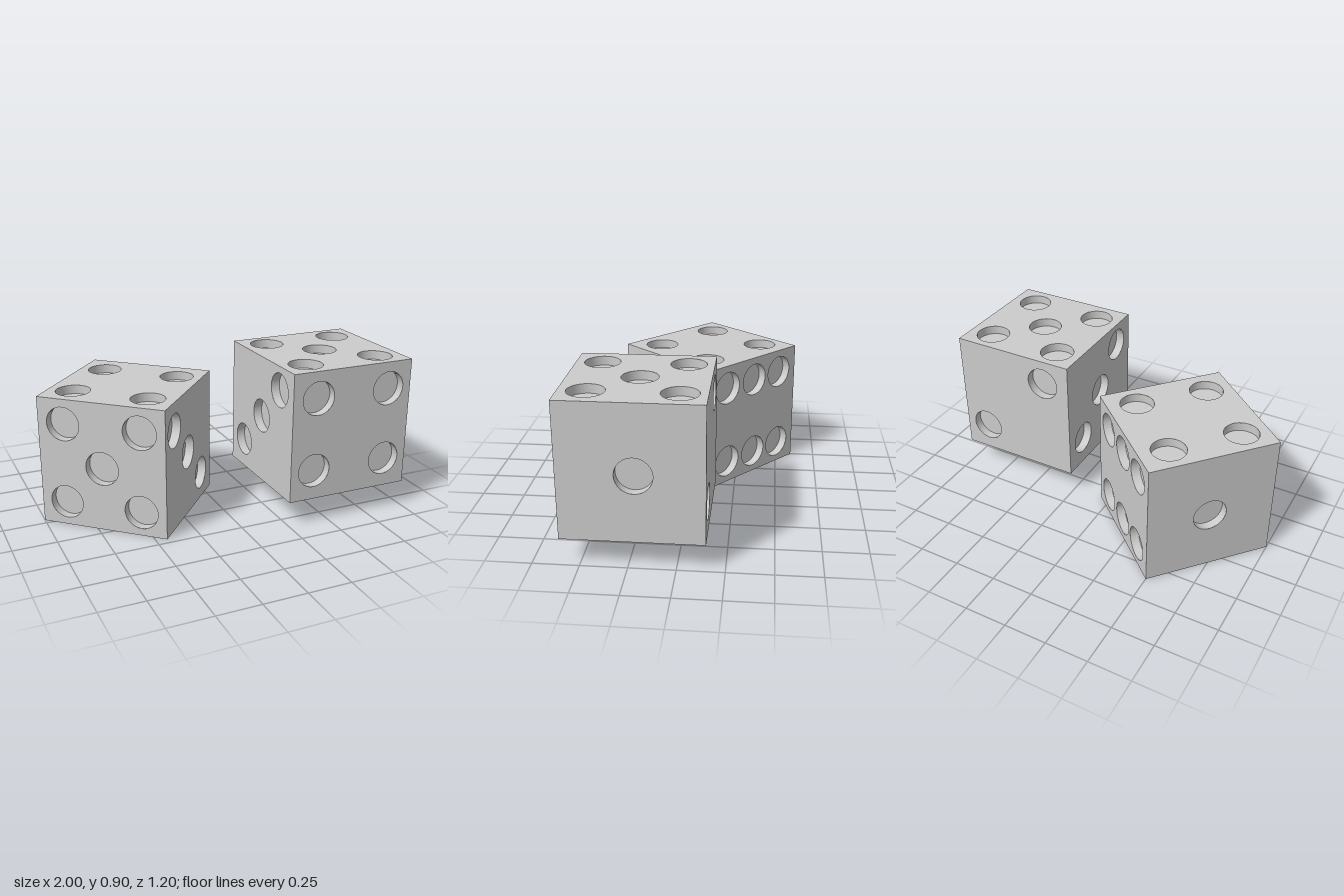
import * as THREE from 'three';
import { toCreasedNormals } from 'three/addons/utils/BufferGeometryUtils.js';

const H = 0.3765;      // half the edge of a die
const R = 0.098;       // pip radius
const DEPTH = 0.051;   // pip depth
const SEG = 40;

const X = new THREE.Vector3(1, 0, 0), Y = new THREE.Vector3(0, 1, 0), Z = new THREE.Vector3(0, 0, 1);
const neg = (v) => v.clone().negate();

// Each face: its two in-plane axes (u x v points outward) and its pip centres
const FACES = [
  { name: 'fiveFace', u: X, v: neg(Z), pips: [[-0.227, 0.236], [0.225, 0.236], [-0.227, -0.232], [0.225, -0.232], [0, 0.005]] },
  { name: 'sixFace', u: X, v: Z, pips: [-0.24, 0.237].flatMap((z) => [-0.227, 0.003, 0.226].map((x) => [x, z])) },
  { name: 'fourFace', u: X, v: Y, pips: [[-0.219, 0.221], [0.23, 0.221], [-0.23, -0.204], [0.23, -0.204]] },
  { name: 'twoFace', u: neg(X), v: Y, pips: [[0.204, 0.226], [-0.226, -0.207]] },
  { name: 'oneFace', u: neg(Z), v: Y, pips: [[0.017, -0.008]] },
  { name: 'threeFace', u: Z, v: Y, pips: [[0.215, 0.24], [0.006, 0.022], [-0.216, -0.203]] },
];

function createDie(name, material) {
  const die = new THREE.Group();
  die.name = name;

  // Recessed pip: wall running down from the rim, then a flat floor
  const profile = [[R, 0], [R, -DEPTH], [0, -DEPTH]].map(([r, y]) => new THREE.Vector2(r, y));
  const pipGeometry = toCreasedNormals(new THREE.LatheGeometry(profile, SEG).rotateX(Math.PI / 2), 0.6);

  for (const { name: faceName, u, v, pips } of FACES) {
    const face = new THREE.Group();
    face.name = faceName;
    const n = u.clone().cross(v);
    face.quaternion.setFromRotationMatrix(new THREE.Matrix4().makeBasis(u, v, n));
    face.position.copy(n).multiplyScalar(H);

    // Square plate with a round opening for each pip
    const square = new THREE.Shape([[-H, -H], [H, -H], [H, H], [-H, H]].map(([a, b]) => new THREE.Vector2(a, b)));
    for (const [a, b] of pips) {
      square.holes.push(new THREE.Path().absarc(a, b, R, 0, Math.PI * 2, true));
      const pip = new THREE.Mesh(pipGeometry, material);
      pip.name = 'pip';
      pip.position.set(a, b, 0);
      face.add(pip);
    }
    const plate = new THREE.Mesh(new THREE.ShapeGeometry(square, SEG), material);
    plate.name = 'facePlate';
    face.add(plate);
    die.add(face);
  }
  return die;
}

export function createModel() {
  const model = new THREE.Group();
  model.name = 'pairOfDice';
  const material = new THREE.MeshStandardMaterial({ color: 0xcccccc });

  // Raised die, square to the axes with the five on top
  const raisedDie = createDie('raisedDie', material);
  raisedDie.position.set(0.6235, 0.528, 0.225);

  // Resting die, turned with the four on top
  const restingDie = createDie('restingDie', material);
  const angle = THREE.MathUtils.degToRad(41.6), c = Math.cos(angle), s = Math.sin(angle);
  restingDie.quaternion.setFromRotationMatrix(new THREE.Matrix4().makeBasis(
    new THREE.Vector3(-c, 0, -s), new THREE.Vector3(-s, 0, c), Y));
  restingDie.position.set(-0.469, H, -0.07);

  model.add(raisedDie, restingDie);
  return model;
}
